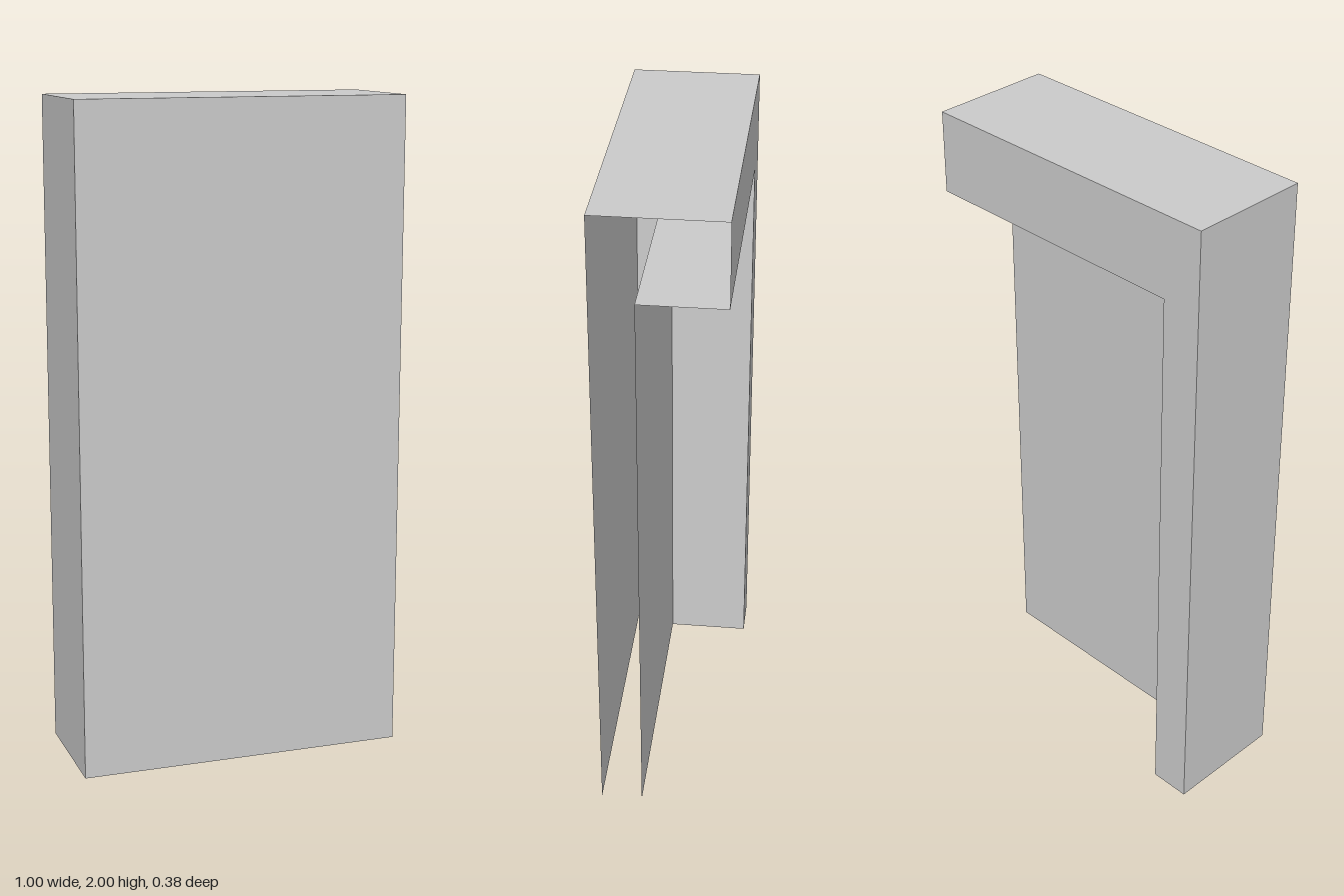
import * as THREE from 'three';

// Thin-walled corner casing: open at the +x end and at the bottom.
const W = 1, H = 2, D = 0.375;      // overall size
const BAND = 0.25;                  // height of the head band
const JAMB = 0.125;                 // width of the jamb strip
const RECESS = 0.25;                // depth of the recess
const material = new THREE.MeshStandardMaterial({ color: 0xcccccc, side: THREE.DoubleSide, flatShading: true });

export function createModel() {
  const group = new THREE.Group();

  const add = (name, geometry, [x, y, z], rx = 0, ry = 0) => {
    const mesh = new THREE.Mesh(geometry, material);
    mesh.name = name;
    mesh.position.set(x, y, z);
    mesh.rotation.set(rx, ry, 0);
    group.add(mesh);
  };
  const panel = (name, w, h, pos, rx, ry) => add(name, new THREE.PlaneGeometry(w, h), pos, rx, ry);

  const q = Math.PI / 2;
  const openW = W - JAMB, openH = H - BAND;
  const recessZ = -D / 2 + RECESS;

  // Outer skin
  panel('frontPanel', W, H, [0, H / 2, D / 2]);
  panel('topPanel', W, D, [0, H, 0], -q);
  panel('sidePanel', D, H, [-W / 2, H / 2, 0], 0, -q);

  // L-shaped back: head band plus jamb strip (turned to face -z, so x is mirrored)
  const back = new THREE.Shape([
    [W / 2, 0], [W / 2, H], [-W / 2, H], [-W / 2, openH], [W / 2 - JAMB, openH], [W / 2 - JAMB, 0],
  ].map(([x, y]) => new THREE.Vector2(x, y)));
  add('backFrame', new THREE.ShapeGeometry(back), [0, 0, -D / 2], 0, Math.PI);

  // Recess: rear panel, underside of the head, inner face of the jamb
  const recessX = JAMB / 2, midZ = recessZ - RECESS / 2;
  panel('recessPanel', openW, openH, [recessX, openH / 2, recessZ], 0, Math.PI);
  panel('headUnderside', openW, RECESS, [recessX, openH, midZ], q);
  panel('jambReveal', RECESS, openH, [-W / 2 + JAMB, openH / 2, midZ], 0, q);

  return group;
}
